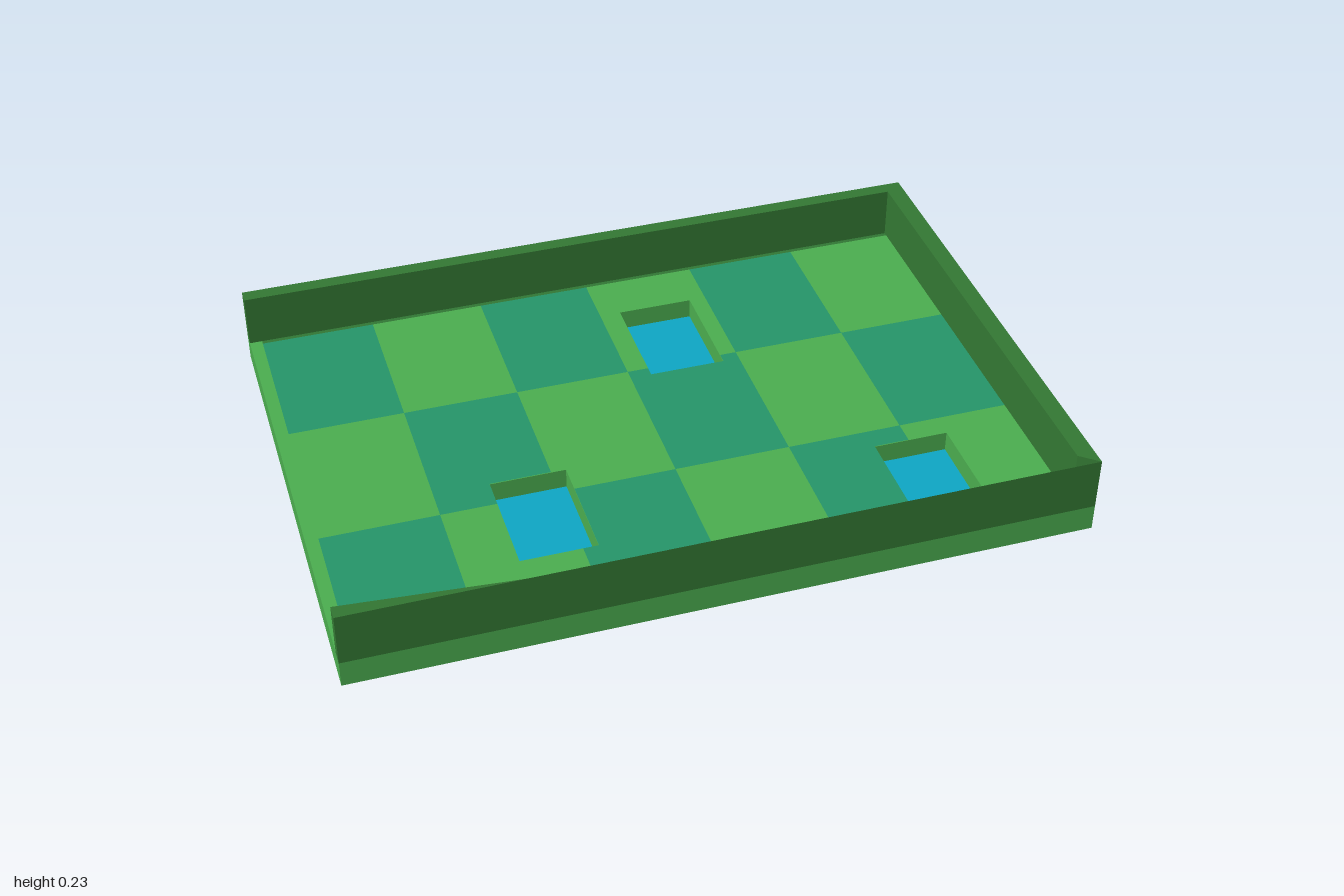
import * as THREE from 'three';
import { mergeGeometries } from 'three/addons/utils/BufferGeometryUtils.js';

const mat = (color) => new THREE.MeshStandardMaterial({ color });

// Outer size, inner opening, and heights
const X = 1, Z = 0.7, IX = 0.965, IZ = 0.66;
const RIM = 0.075, TOP = 0.225, FLOOR = 0.066;
const WX = 0.95; // inner face of the end wall

// Water holes as [x0, x1, z0, z1]
const HOLES = [
  [-0.49, -0.28, 0.14, 0.46],
  [0.06, 0.275, -0.51, -0.195],
  [0.545, 0.755, 0.29, 0.6],
];

const rectPoints = (x0, x1, z0, z1) => [[x0, z0], [x0, z1], [x1, z1], [x1, z0]];
const toPlan = (points) => points.map(([x, z]) => new THREE.Vector2(x, -z));

// Extrudes a plan outline (x, z) from y0 up to y1
function slab(outline, holes, y0, y1) {
  const shape = new THREE.Shape(toPlan(outline));
  holes.forEach((h) => shape.holes.push(new THREE.Path(toPlan(rectPoints(...h)))));
  const geo = new THREE.ExtrudeGeometry(shape, { depth: y1 - y0, bevelEnabled: false });
  return geo.rotateX(-Math.PI / 2).translate(0, y0, 0);
}

// Floor tiles of one colour, cut around the holes
function tiles(parity) {
  const xs = [], zs = [];
  for (let i = 0; i <= 6; i++) xs.push(-IX + (i * 2 * IX) / 6);
  zs.push(-IZ, -0.225, 0.225, IZ);
  const cutX = [...xs, ...HOLES.flatMap((h) => [h[0], h[1]])].sort((a, b) => a - b);
  const cutZ = [...zs, ...HOLES.flatMap((h) => [h[2], h[3]])].sort((a, b) => a - b);
  const parts = [];
  for (let i = 0; i < cutX.length - 1; i++) {
    for (let j = 0; j < cutZ.length - 1; j++) {
      const w = cutX[i + 1] - cutX[i], d = cutZ[j + 1] - cutZ[j];
      const cx = cutX[i] + w / 2, cz = cutZ[j] + d / 2;
      const inHole = HOLES.some((h) => cx > h[0] && cx < h[1] && cz > h[2] && cz < h[3]);
      const col = xs.filter((x) => x < cx).length, row = zs.filter((z) => z < cz).length;
      if (inHole || (col + row) % 2 !== parity) continue;
      parts.push(new THREE.PlaneGeometry(w, d).rotateX(-Math.PI / 2).translate(cx, FLOOR, cz));
    }
  }
  return mergeGeometries(parts);
}

// Front wall: mitred at the end wall, its inner top corner sloping down to the rim
function frontWallGeometry() {
  const geo = new THREE.BoxGeometry(2 * X, TOP - RIM, Z - IZ).toNonIndexed();
  geo.translate(0, (TOP + RIM) / 2, (Z + IZ) / 2);
  const p = geo.attributes.position;
  for (let i = 0; i < p.count; i++) {
    if (p.getX(i) > 0 && p.getZ(i) < (Z + IZ) / 2) p.setXYZ(i, WX, RIM, IZ);
  }
  // Redo the top so that its fold runs from the outer open end to the lowered corner
  const kept = [];
  for (let i = 0; i < p.count; i += 3) {
    if (geo.attributes.normal.getY(i) > 0.5) continue;
    // The inner face needs its diagonal on the slope; it is redone below as well
    if (geo.attributes.normal.getZ(i) < -0.5) continue;
    for (let k = i; k < i + 3; k++) kept.push(p.getX(k), p.getY(k), p.getZ(k));
  }
  const outerOpen = [-X, TOP, Z], outerEnd = [X, TOP, Z];
  const innerOpen = [-X, TOP, IZ], low = [WX, RIM, IZ], base = [-X, RIM, IZ];
  kept.push(...outerOpen, ...outerEnd, ...low, ...outerOpen, ...low, ...innerOpen);
  kept.push(...base, ...innerOpen, ...low);
  const out = new THREE.BufferGeometry();
  out.setAttribute('position', new THREE.Float32BufferAttribute(kept, 3));
  out.computeVertexNormals();
  return out;
}

export function createModel() {
  const group = new THREE.Group();
  const light = mat(0x4caf50), dark = mat(0x347934), teal = mat(0x26966a), blue = mat(0x0ea8c6);
  const add = (name, geo, material) => {
    const mesh = new THREE.Mesh(geo, material);
    mesh.name = name;
    group.add(mesh);
  };

  // Base frame around the floor
  const inner = [-IX, IX, -IZ, IZ];
  add('baseFrame', slab(rectPoints(-X, X, -Z, Z), [inner], 0, RIM), light);

  // Floor body with holes, its dark underside and the checkered top
  add('floorBody', slab(rectPoints(...inner), HOLES, 0.004, FLOOR - 0.002), light);
  add('underside', slab(rectPoints(...inner), HOLES, 0, 0.004), dark);
  add('tealTiles', tiles(0), teal);
  add('greenTiles', tiles(1), light);

  // Water at the bottom of each hole
  HOLES.forEach((h, i) => add(`waterHole${i + 1}`, slab(rectPoints(...h), [], 0, 0.006), blue));

  // Walls on three sides; the -x side stays open
  add('backWall', slab(rectPoints(-X, WX, -Z, -IZ), [], RIM, TOP), dark);
  add('endWall', slab([[WX, -Z], [WX, IZ], [X, Z], [X, -Z]], [], RIM, TOP), dark);
  add('frontWall', frontWallGeometry(), dark);

  return group;
}
